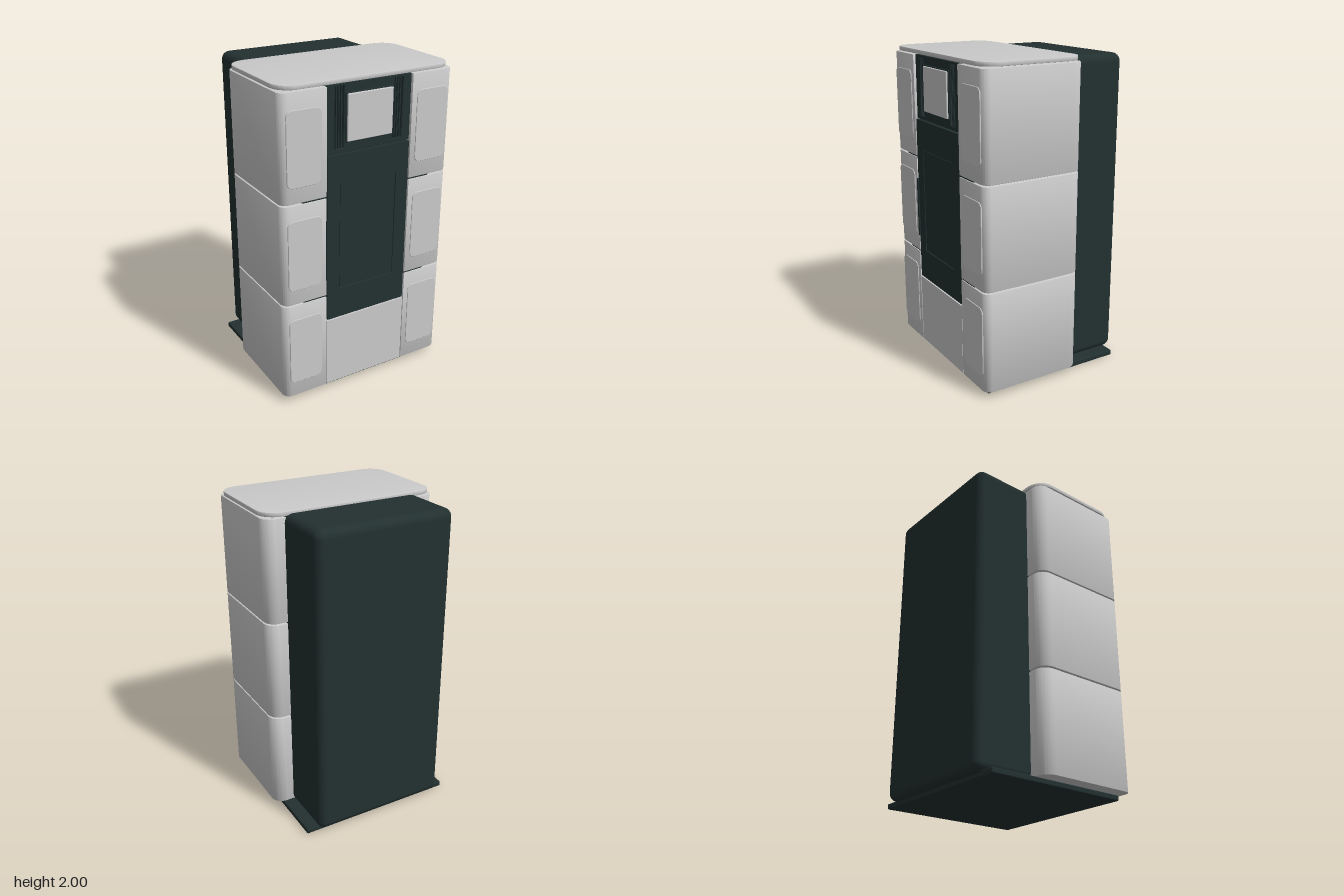
import * as THREE from 'three';
import { toCreasedNormals } from 'three/addons/utils/BufferGeometryUtils.js';
import { RoundedBoxGeometry } from 'three/addons/geometries/RoundedBoxGeometry.js';

const W = 0.577, BACK = -0.15, FRONT = 0.522, DOOR = 0.285;

// Rounded rectangle, with one radius for the low-y corners and one for the high-y corners
function roundedRect(x0, x1, y0, y1, rLow, rHigh, notch) {
  const s = new THREE.Shape();
  s.moveTo(x0 + rLow, y0);
  s.lineTo(x1 - rLow, y0);
  s.absarc(x1 - rLow, y0 + rLow, rLow, -Math.PI / 2, 0);
  s.lineTo(x1, y1 - rHigh);
  s.absarc(x1 - rHigh, y1 - rHigh, rHigh, 0, Math.PI / 2);
  if (notch) {
    s.lineTo(notch.half, y1);
    s.lineTo(notch.half, y1 - notch.depth);
    s.lineTo(-notch.half, y1 - notch.depth);
    s.lineTo(-notch.half, y1);
  }
  s.lineTo(x0 + rHigh, y1);
  s.absarc(x0 + rHigh, y1 - rHigh, rHigh, Math.PI / 2, Math.PI);
  s.lineTo(x0, y0 + rLow);
  s.absarc(x0 + rLow, y0 + rLow, rLow, Math.PI, Math.PI * 1.5);
  return s;
}

// Horizontal slab: the shape lies in x/z and fills y0..y1
function slab(shape, y0, y1, bevel = 0.004) {
  const g = new THREE.ExtrudeGeometry(shape, {
    depth: y1 - y0 - 2 * bevel, curveSegments: 10, bevelEnabled: true,
    bevelSize: bevel, bevelOffset: -bevel, bevelThickness: bevel, bevelSegments: 2,
  });
  g.rotateX(Math.PI / 2).translate(0, y1 - bevel, 0);
  return toCreasedNormals(g, 0.6);
}

// Upright plate: the shape lies in x/y and fills z0..z1
function plate(shape, z0, z1) {
  const b = 0.002;
  const g = new THREE.ExtrudeGeometry(shape, {
    depth: z1 - z0 - 2 * b, curveSegments: 6, bevelEnabled: true,
    bevelSize: b, bevelOffset: -b, bevelThickness: b, bevelSegments: 1,
  });
  g.translate(0, 0, z0 + b);
  return toCreasedNormals(g, 0.6);
}

function box(x0, x1, y0, y1, z0, z1) {
  return new THREE.BoxGeometry(x1 - x0, y1 - y0, z1 - z0)
    .translate((x0 + x1) / 2, (y0 + y1) / 2, (z0 + z1) / 2);
}

function rounded(x0, x1, y0, y1, z0, z1, r, seg = 4) {
  return new RoundedBoxGeometry(x1 - x0, y1 - y0, z1 - z0, seg, r)
    .translate((x0 + x1) / 2, (y0 + y1) / 2, (z0 + z1) / 2);
}

export function createModel() {
  const model = new THREE.Group();
  model.name = 'stove';
  const light = new THREE.MeshStandardMaterial({ color: 0xcacaca });
  light.name = 'light grey';
  const dark = new THREE.MeshStandardMaterial({ color: 0x233030 });
  dark.name = 'dark grey green';
  const add = (name, geometry, material) => {
    const mesh = new THREE.Mesh(geometry, material);
    mesh.name = name;
    model.add(mesh);
  };

  // Base plate and the core that shows in the seams
  add('basePlate', rounded(-0.517, 0.517, 0, 0.034, -0.475, 0.475, 0.008, 2), dark);
  add('core', box(-0.44, 0.44, 0.03, 1.98, BACK + 0.02, 0.45), dark);
  [0.683, 1.323].forEach((y) =>
    add('seam', slab(roundedRect(-0.45, 0.45, BACK + 0.005, FRONT - 0.006, 0.03, 0.03,
      { half: DOOR, depth: 0.06 }), y - 0.005, y + 0.005, 0.001), dark));

  // Three stacked casing tiers with a front slot, each with two raised panels
  const tier = roundedRect(-W, W, BACK, FRONT, 0.075, 0.05, { half: DOOR + 0.002, depth: 0.075 });
  [[0.043, 0.679, 0.14], [0.688, 1.319, 0.782], [1.328, 1.966, 1.424]].forEach(([y0, y1, p]) => {
    add('casingTier', slab(tier, y0, y1), light);
    for (const side of [-1, 1]) {
      const x = side * 0.431;
      add('sidePanel', plate(roundedRect(x - 0.11, x + 0.11, p, p + 0.443, 0.035, 0.035),
        FRONT - 0.004, 0.527), light);
    }
  });

  // Top cover
  add('topCover', slab(roundedRect(-W, W, BACK, FRONT, 0.115, 0.115), 1.974, 2), light);

  // Rear housing
  add('rearHousing', rounded(-0.45, 0.45, 0.025, 1.985, -0.527, -0.07, 0.052, 5), dark);

  // Lower front panel
  add('lowerPanel', box(-DOOR + 0.003, DOOR - 0.003, 0.046, 0.503, 0.44, FRONT - 0.001), light);

  // Door with an inset window and a handle on one edge
  const door = roundedRect(-DOOR + 0.005, DOOR - 0.005, 0.51, 1.568, 0.006, 0.006);
  door.holes.push(roundedRect(-0.196, 0.192, 0.71, 1.382, 0.004, 0.004));
  add('door', plate(door, 0.46, 0.52), dark);
  add('window', box(-0.193, 0.189, 0.713, 1.379, 0.46, 0.517), dark);
  add('handle', rounded(-0.291, -0.272, 0.79, 1.18, 0.49, 0.527, 0.004, 2), dark);

  // Control recess: back, rims, vent slats and the display
  add('recessBack', box(-DOOR, DOOR, 1.56, 1.968, 0.44, 0.485), dark);
  const fascia = roundedRect(-DOOR, DOOR, 1.572, 1.968, 0.003, 0.003);
  for (const side of [-1, 1]) {
    const x = side * 0.198;
    fascia.holes.push(roundedRect(x - 0.03, x + 0.03, 1.595, 1.955, 0.003, 0.003));
    for (let i = -1; i <= 1; i++) {
      const sx = x + i * 0.017;
      add('ventSlat', box(sx - 0.004, sx + 0.004, 1.595, 1.955, 0.48, 0.503), dark);
    }
  }
  add('fascia', plate(fascia, 0.475, 0.508), dark);
  add('displayFrame', rounded(-0.16, 0.16, 1.625, 1.917, 0.49, 0.515, 0.004, 2), dark);
  add('display', rounded(-0.152, 0.152, 1.633, 1.909, 0.49, 0.525, 0.005, 2), light);

  return model;
}
